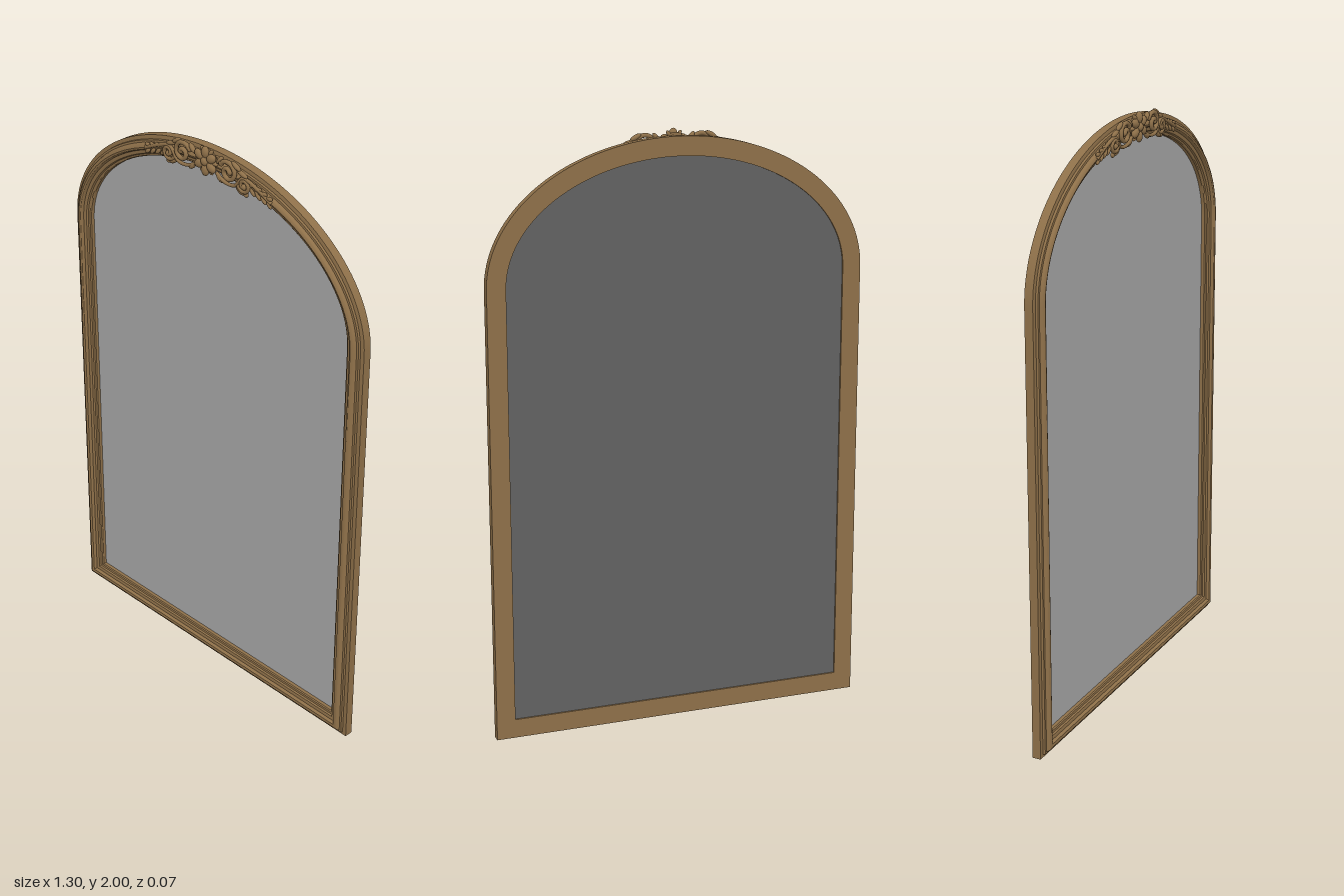
import * as THREE from 'three';
import { toCreasedNormals } from 'three/addons/utils/BufferGeometryUtils.js';

const gold = new THREE.MeshStandardMaterial({ color: 0x8e7049 });
gold.name = 'antique gold';
const glass = new THREE.MeshStandardMaterial({ color: 0xa8a8a8 });
glass.name = 'mirror grey';
const backing = new THREE.MeshStandardMaterial({ color: 0x626262 });
backing.name = 'backing grey';

const HALF = 0.65, SPRING = 1.52, RISE = 0.46;

// Arched outline, counterclockwise from the front, inset by d
function outline(d, segments = 72) {
  const pts = [new THREE.Vector2(-HALF + d, d), new THREE.Vector2(HALF - d, d)];
  for (let i = 0; i <= segments; i++) {
    const a = Math.PI * i / segments;
    pts.push(new THREE.Vector2((HALF - d) * Math.cos(a), SPRING + (RISE - d) * Math.sin(a)));
  }
  return pts;
}

// Moulding profile as [inset, z], swept round the outline with mitred corners
function mouldingGeometry() {
  const profile = [
    [0.064, -0.03], [0.064, -0.037], [0, -0.037], [0, -0.008], [0.008, -0.006],
    [0.013, -0.006], [0.014, 0.002], [0.021, 0.003], [0.024, 0.01], [0.029, 0.014],
    [0.035, 0.016], [0.041, 0.014], [0.045, 0.009], [0.046, 0.004], [0.053, 0.004],
    [0.058, 0.002], [0.061, -0.004], [0.067, -0.006], [0.07, -0.01], [0.07, -0.03],
  ];
  const rings = profile.map(([d, z]) => outline(d).map(p => new THREE.Vector3(p.x, p.y, z)));
  const pos = [];
  for (let j = 0; j < rings.length - 1; j++) {
    const a = rings[j], b = rings[j + 1];
    for (let i = 0; i < a.length; i++) {
      const k = (i + 1) % a.length;
      for (const v of [a[i], a[k], b[k], a[i], b[k], b[i]]) pos.push(v.x, v.y, v.z);
    }
  }
  const geo = new THREE.BufferGeometry();
  geo.setAttribute('position', new THREE.Float32BufferAttribute(pos, 3));
  return toCreasedNormals(geo, 0.5);
}

function add(parent, name, geometry, material = gold) {
  const mesh = new THREE.Mesh(geometry, material);
  mesh.name = name;
  parent.add(mesh);
  return mesh;
}

// Flattened bead or leaf lobe
function lobe(parent, name, x, y, z, length, width, depth, angle) {
  const mesh = add(parent, name, new THREE.SphereGeometry(1, 14, 10));
  mesh.scale.set(length, width, depth);
  mesh.position.set(x, y, z);
  mesh.rotation.z = angle;
  return mesh;
}

// Tapering spiral volute
function scroll(parent, x, y, z, radius, thickness, start, turns) {
  const pts = [];
  for (let i = 0; i <= 24; i++) {
    const t = i / 24, a = start + turns * Math.PI * 2 * t, r = radius * (1 - 0.78 * t);
    pts.push(new THREE.Vector3(x + r * Math.cos(a), y + r * Math.sin(a), z + 0.004 * t));
  }
  add(parent, 'scroll', new THREE.TubeGeometry(new THREE.CatmullRomCurve3(pts), 48, thickness, 8));
  const end = pts[24];
  lobe(parent, 'scrollEye', end.x, end.y, z + 0.002, 0.01, 0.01, 0.008, 0);
  lobe(parent, 'scrollTip', pts[0].x, pts[0].y, z, thickness * 1.2, thickness * 1.2, thickness, 0);
}

// Curved stem
function stem(parent, points, thickness) {
  const curve = new THREE.CatmullRomCurve3(points.map(p => new THREE.Vector3(...p)));
  add(parent, 'stem', new THREE.TubeGeometry(curve, 24, thickness, 8));
}

// Scrolls and leaves on the +x side, mirrored by side = -1
function spray(parent, side) {
  const g = new THREE.Group();
  g.name = side > 0 ? 'leftSpray' : 'rightSpray';
  const s = side;
  const put = (name, x, y, z, l, w, d, a) => lobe(g, name, s * x, y, z, l, w, d, s * a);
  const dir = s > 0 ? 0 : Math.PI;
  scroll(g, s * 0.1, 1.947, 0.022, 0.036, 0.0075, dir + s * 2.6, -s * 1.35);
  scroll(g, s * 0.165, 1.925, 0.019, 0.026, 0.0065, dir + s * 3.6, s * 1.2);
  stem(g, [[s * 0.045, 1.925, 0.018], [s * 0.08, 1.908, 0.02], [s * 0.125, 1.91, 0.02],
    [s * 0.16, 1.946, 0.019], [s * 0.21, 1.932, 0.016], [s * 0.278, 1.9, 0.015]], 0.006);
  // Leaf lobes around the scrolls
  put('leaf', 0.06, 1.972, 0.018, 0.018, 0.008, 0.009, 0.9);
  put('leaf', 0.13, 1.975, 0.018, 0.022, 0.008, 0.008, -0.5);
  put('leaf', 0.155, 1.958, 0.017, 0.024, 0.008, 0.008, -0.3);
  put('leaf', 0.06, 1.912, 0.018, 0.018, 0.008, 0.008, -0.7);
  put('leaf', 0.145, 1.9, 0.016, 0.02, 0.008, 0.008, -0.6);
  put('leaf', 0.17, 1.893, 0.015, 0.009, 0.009, 0.007, 0);
  // Trailing leaves along the arch
  for (let i = 0; i < 4; i++) {
    const x = 0.195 + i * 0.024;
    const y = SPRING + 0.425 * Math.sqrt(1 - (x / 0.615) ** 2);
    const size = 0.019 - i * 0.002;
    put('trailingLeaf', x, y + 0.01, 0.014, size, 0.007, 0.006, 0.15);
    put('trailingLeaf', x, y - 0.011, 0.014, size, 0.007, 0.006, -0.8);
  }
  parent.add(g);
}

// Central flower
function rosette(parent) {
  const g = new THREE.Group();
  g.name = 'rosette';
  const disc = add(g, 'flowerBase', new THREE.CylinderGeometry(0.034, 0.038, 0.014, 24));
  disc.rotation.x = Math.PI / 2;
  disc.position.z = 0.014;
  for (let i = 0; i < 6; i++) {
    const a = Math.PI / 2 + i * Math.PI / 3;
    lobe(g, 'petal', 0.03 * Math.cos(a), 0.03 * Math.sin(a), 0.022, 0.02, 0.0145, 0.011, a);
  }
  for (let i = 0; i < 6; i++) {
    const a = i * Math.PI / 3;
    lobe(g, 'sepal', 0.034 * Math.cos(a), 0.034 * Math.sin(a), 0.015, 0.015, 0.007, 0.008, a);
  }
  lobe(g, 'flowerCentre', 0, 0, 0.026, 0.014, 0.014, 0.01, 0);
  g.position.y = 1.95;
  parent.add(g);
}

export function createModel() {
  const model = new THREE.Group();
  model.name = 'archedMirror';
  add(model, 'frame', mouldingGeometry());

  // Mirror pane and rear panel
  const pane = new THREE.ShapeGeometry(new THREE.Shape(outline(0.066)));
  add(model, 'mirrorPane', pane, glass).position.z = -0.022;
  const rear = new THREE.ShapeGeometry(new THREE.Shape(outline(0.062)));
  rear.rotateY(Math.PI);
  add(model, 'rearPanel', rear, backing).position.z = -0.031;

  // Carved crest
  const crest = new THREE.Group();
  crest.name = 'crest';
  rosette(crest);
  spray(crest, 1);
  spray(crest, -1);
  model.add(crest);
  return model;
}
